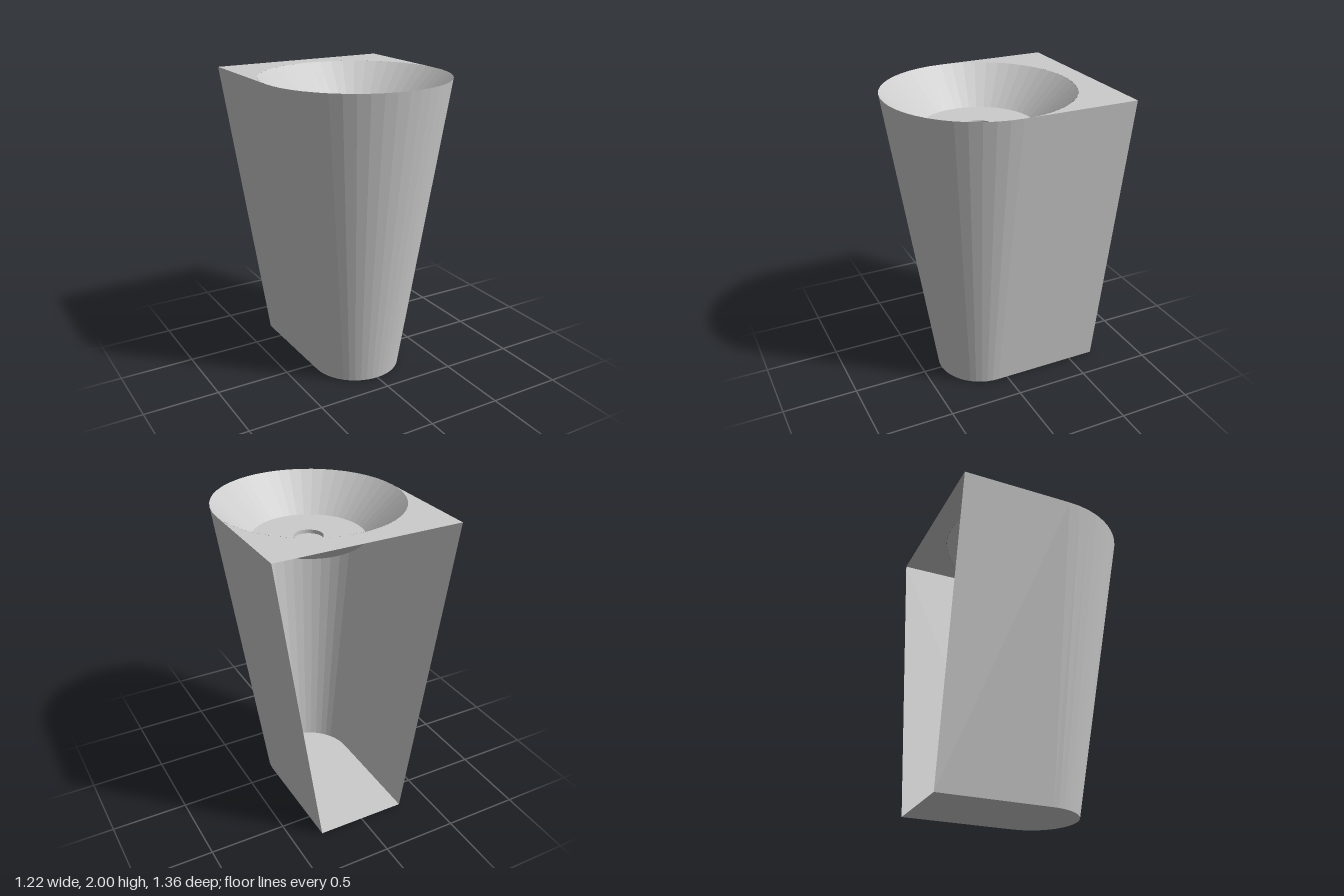
import * as THREE from 'three';

const HEIGHT = 2, TOP_R = 0.61, BASE_R = 0.3, CENTRE_Z = 0.07, BACK_Z = -0.68;
const FLOOR_Y = 1.765, FLOOR_R = 0.365, DRAIN_R = 0.095, DRAIN_Y = 1.74;
const ARC = 24; // segments per half circle

// U-shaped outline, open at the back: left side, round front, right side
function outline(r) {
  const pts = [[r, BACK_Z]];
  for (let i = 0; i <= ARC; i++) {
    const a = (i / ARC) * Math.PI;
    pts.push([r * Math.cos(a), CENTRE_Z + r * Math.sin(a)]);
  }
  pts.push([-r, BACK_Z]);
  return pts;
}

// Tapered wall lofted between the base and top outlines
function wallGeometry() {
  const low = outline(BASE_R), high = outline(TOP_R);
  const pos = [], index = [];
  low.forEach(([x, z], i) => {
    pos.push(x, 0, z, high[i][0], HEIGHT, high[i][1]);
    if (i === 0) return;
    const a = 2 * (i - 1), b = 2 * i;
    index.push(a, a + 1, b, b, a + 1, b + 1);
  });
  const geo = new THREE.BufferGeometry();
  geo.setAttribute('position', new THREE.Float32BufferAttribute(pos, 3));
  geo.setIndex(index);
  geo.computeVertexNormals();
  return geo;
}

export function createModel() {
  const group = new THREE.Group();
  group.name = 'pedestalBasin';
  const material = new THREE.MeshStandardMaterial({
    color: 0xcccccc, flatShading: true, side: THREE.DoubleSide,
  });
  const add = (name, geometry) => {
    const mesh = new THREE.Mesh(geometry, material);
    mesh.name = name;
    group.add(mesh);
    return mesh;
  };

  add('pedestalWall', wallGeometry());

  // Closed base plate
  const base = new THREE.Shape(outline(BASE_R).map(([x, z]) => new THREE.Vector2(x, -z)));
  add('basePlate', new THREE.ShapeGeometry(base).rotateX(-Math.PI / 2));

  // Flat rear deck that meets the round rim of the bowl
  const deck = new THREE.Shape();
  deck.moveTo(-TOP_R, -BACK_Z);
  deck.lineTo(-TOP_R, -CENTRE_Z);
  deck.absarc(0, -CENTRE_Z, TOP_R, Math.PI, 0, true);
  deck.lineTo(TOP_R, -BACK_Z);
  add('rearDeck', new THREE.ShapeGeometry(deck, ARC).rotateX(-Math.PI / 2)).position.y = HEIGHT;

  // Conical bowl with a flat floor and a shallow round drain recess
  const profile = [
    [0, DRAIN_Y], [DRAIN_R, DRAIN_Y], [DRAIN_R, FLOOR_Y], [FLOOR_R, FLOOR_Y], [TOP_R, HEIGHT],
  ].map(([r, y]) => new THREE.Vector2(r, y));
  add('bowl', new THREE.LatheGeometry(profile, 2 * ARC)).position.z = CENTRE_Z;

  return group;
}
